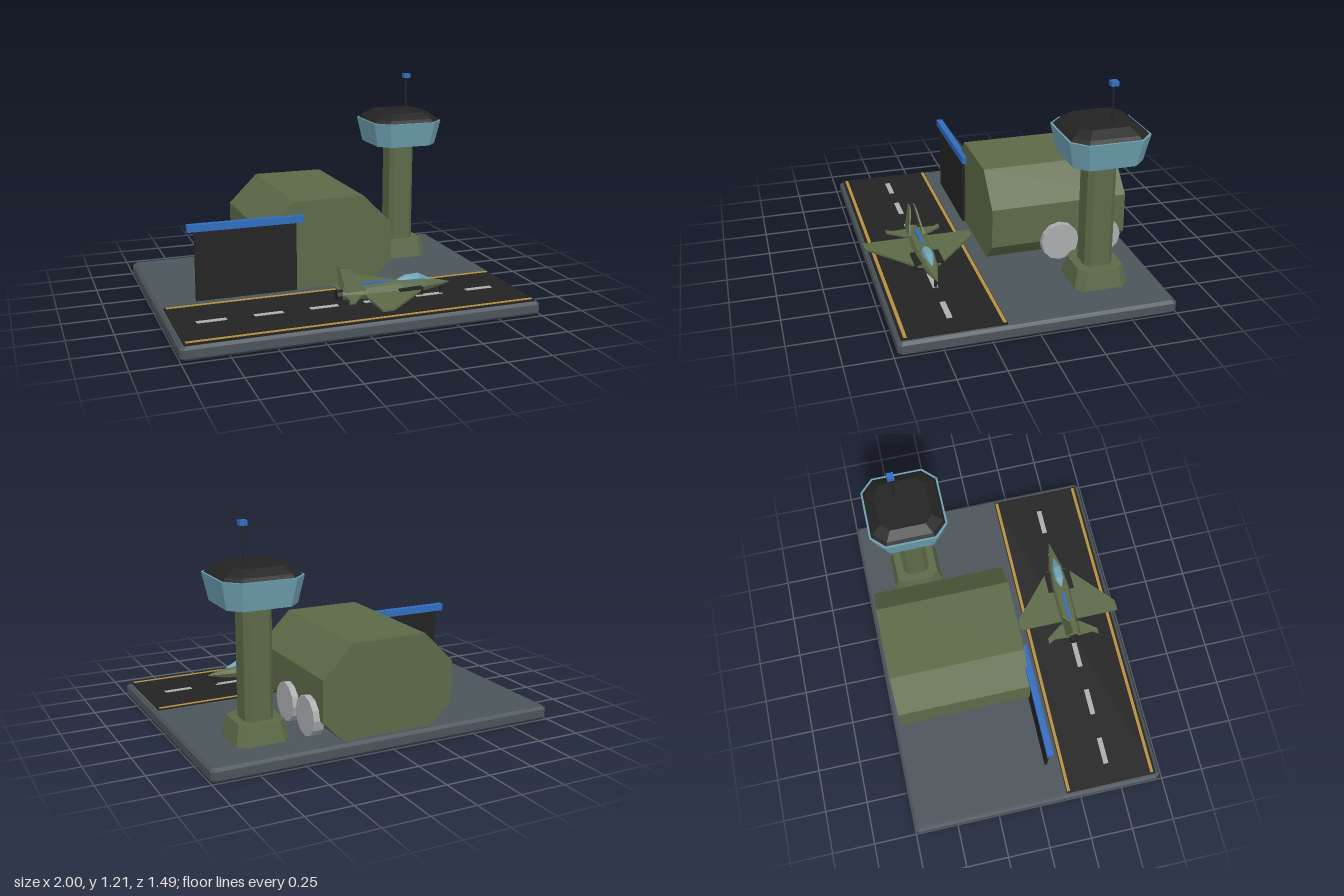
import * as THREE from 'three';

const mat = (name, color) => {
  const m = new THREE.MeshStandardMaterial({ color });
  m.name = name;
  return m;
};

export function createModel() {
  const green = mat('olive green', 0x5c6a48);
  const concrete = mat('concrete', 0x4b545a);
  const black = mat('tarmac black', 0x232323);
  const yellow = mat('line yellow', 0xb68f3c);
  const grey = mat('light grey', 0xaaacae);
  const blue = mat('blue', 0x2f6cc0);
  const glass = mat('glass', 0x6fa2b3);

  const root = new THREE.Group();
  root.name = 'airbase';

  const add = (parent, name, geo, material, x = 0, y = 0, z = 0) => {
    const mesh = new THREE.Mesh(geo, material);
    mesh.name = name;
    mesh.position.set(x, y, z);
    parent.add(mesh);
    return mesh;
  };
  // box given by its limits
  const box = (parent, name, material, x0, x1, y0, y1, z0, z1) =>
    add(parent, name, new THREE.BoxGeometry(x1 - x0, y1 - y0, z1 - z0), material,
      (x0 + x1) / 2, (y0 + y1) / 2, (z0 + z1) / 2);
  const flat = (geo) => {
    const g = geo.toNonIndexed();
    g.computeVertexNormals();
    return g;
  };
  // faceted capped skin over rings of [x, y, z], counter-clockwise seen from the last ring
  const loft = (rings) => {
    const pos = [];
    const n = rings[0].length;
    for (let r = 0; r < rings.length - 1; r++) {
      for (let i = 0; i < n; i++) {
        const j = (i + 1) % n;
        const [a, b, c, d] = [rings[r][i], rings[r][j], rings[r + 1][j], rings[r + 1][i]];
        pos.push(...a, ...b, ...c, ...a, ...c, ...d);
      }
    }
    const first = rings[0], last = rings[rings.length - 1];
    for (let i = 1; i < n - 1; i++) {
      pos.push(...first[0], ...first[i + 1], ...first[i], ...last[0], ...last[i], ...last[i + 1]);
    }
    const g = new THREE.BufferGeometry();
    g.setAttribute('position', new THREE.Float32BufferAttribute(pos, 3));
    g.computeVertexNormals();
    return g;
  };
  // rectangle with cut corners
  const octagon = (u, v, c) => [[u, c - v], [u, v - c], [u - c, v], [c - u, v],
    [-u, v - c], [-u, c - v], [c - u, -v], [u - c, -v]];
  // stack of cut-corner rectangles: [y, half x, half z, corner]
  const stack = (levels) => loft(levels.map(([y, hx, hz, c]) =>
    octagon(hz, hx, c).map(([z, x]) => [x, y, z])));
  const plate = (points, t) => new THREE.ExtrudeGeometry(
    new THREE.Shape(points.map(([x, y]) => new THREE.Vector2(x, y))), { depth: t, bevelEnabled: false });

  // ground slab
  add(root, 'groundSlab', stack([[0, 0.985, 0.725, 0.015], [0.015, 1, 0.74, 0.018],
    [0.06, 1, 0.74, 0.018], [0.075, 0.985, 0.725, 0.015]]), concrete, 0, 0, -0.01);

  // runway and markings
  const runway = new THREE.Group();
  runway.name = 'runway';
  root.add(runway);
  box(runway, 'tarmac', black, -0.975, 0.973, 0.07, 0.083, 0.165, 0.71);
  for (const z of [0.178, 0.687]) {
    box(runway, 'edgeLine', yellow, -0.965, 0.965, 0.081, 0.086, z - 0.009, z + 0.009);
  }
  for (let i = 0; i < 6; i++) {
    const x = -0.775 + i * 0.309;
    box(runway, 'centreDash', grey, x - 0.08, x + 0.08, 0.081, 0.086, 0.42, 0.45);
  }

  // hangar, faceted barrel sunk into the slab
  add(root, 'hangar', loft([-0.7, 0.077].map((z) =>
    octagon(0.383, 0.285, 0.172).map(([x, y]) => [x, y + 0.302, z]))), green);

  // sliding door with its beam
  box(root, 'door', black, -0.78, -0.2, 0.07, 0.48, 0.078, 0.094);
  box(root, 'doorBeam', blue, -0.82, -0.16, 0.47, 0.51, 0.066, 0.103);

  // round fans on the hangar side
  for (const z of [-0.557, -0.309]) {
    const geo = flat(new THREE.CylinderGeometry(0.108, 0.108, 0.06, 12));
    add(root, 'fan', geo, grey, 0.388, 0.19, z).rotation.z = Math.PI / 2;
  }

  // control tower
  const tower = new THREE.Group();
  tower.name = 'controlTower';
  tower.position.set(0.637, 0, -0.423);
  root.add(tower);
  add(tower, 'foot', stack([[0.07, 0.15, 0.15, 0.045], [0.18, 0.125, 0.125, 0.04]]), green);
  add(tower, 'shaft', stack([[0.17, 0.078, 0.078, 0.026], [0.8, 0.078, 0.078, 0.026]]), green);
  add(tower, 'cabin', stack([[0.79, 0.19, 0.19, 0.065], [0.937, 0.22, 0.22, 0.075]]), glass);
  add(tower, 'roof', stack([[0.936, 0.21, 0.21, 0.07], [0.955, 0.195, 0.195, 0.065],
    [0.99, 0.145, 0.145, 0.045]]), black);
  add(tower, 'mast', flat(new THREE.CylinderGeometry(0.005, 0.005, 0.21, 8)), black, 0.064, 1.09, -0.036);
  add(tower, 'beacon', new THREE.BoxGeometry(0.04, 0.026, 0.04), blue, 0.064, 1.198, -0.036);

  // jet on the runway, nose toward +x
  const jet = new THREE.Group();
  jet.name = 'jet';
  jet.position.z = 0.434;
  root.add(jet);
  // hull sections: [x, half width, bottom, top]
  const hull = (sections) => loft(sections.map(([x, w, lo, hi]) => {
    const ring = [];
    for (let i = 0; i < 8; i++) {
      const a = (i / 8) * Math.PI * 2;
      ring.push([x, (lo + hi) / 2 + Math.cos(a) * (hi - lo) / 2, Math.sin(a) * w]);
    }
    return ring;
  }));
  add(jet, 'fuselage', hull([[-0.06, 0.034, 0.112, 0.172], [0.05, 0.05, 0.103, 0.185],
    [0.28, 0.056, 0.1, 0.194], [0.42, 0.042, 0.11, 0.187], [0.52, 0.018, 0.126, 0.166],
    [0.582, 0.003, 0.143, 0.149]]), green);
  add(jet, 'canopy', hull([[0.265, 0.006, 0.18, 0.194], [0.32, 0.027, 0.172, 0.214],
    [0.39, 0.027, 0.168, 0.218], [0.465, 0.005, 0.168, 0.18]]), glass);
  box(jet, 'spineStripe', blue, 0.05, 0.225, 0.184, 0.193, -0.009, 0.009);
  add(jet, 'nozzle', flat(new THREE.CylinderGeometry(0.032, 0.028, 0.035, 8)), black,
    -0.071, 0.142, 0).rotation.z = -Math.PI / 2;

  for (const s of [1, -1]) {
    const wing = [[0.055, s * 0.03], [0.055, s * 0.31], [0.12, s * 0.308], [0.4, s * 0.06], [0.4, s * 0.03]];
    add(jet, 'wing', plate(wing, 0.012), green, 0, 0.135, 0).rotation.x = -Math.PI / 2;
    const tail = [[-0.055, s * 0.02], [-0.05, s * 0.12], [-0.072, s * 0.157], [-0.036, s * 0.157],
      [0.035, s * 0.06], [0.035, s * 0.02]];
    add(jet, 'tailplane', plate(tail, 0.01), green, 0, 0.138, 0).rotation.x = -Math.PI / 2;
    const fin = plate([[-0.05, 0], [0.07, 0], [-0.013, 0.13], [-0.076, 0.136]], 0.008);
    fin.translate(0, 0, -0.004);
    add(jet, 'fin', fin, green, 0, 0.163, s * 0.042).rotation.x = -s * 0.2;
    // intake, bomb and landing gear
    const iz = s * 0.06;
    box(jet, 'intake', black, 0.255, 0.392, 0.118, 0.157, iz - 0.02, iz + 0.02);
    const bz = s * 0.155;
    add(jet, 'bomb', hull([[0.13, 0.005, 0.106, 0.116], [0.155, 0.014, 0.097, 0.125],
      [0.25, 0.014, 0.097, 0.125], [0.285, 0.003, 0.108, 0.114]]), black, 0, 0, bz);
    box(jet, 'pylon', black, 0.16, 0.23, 0.115, 0.137, bz - 0.004, bz + 0.004);
    const gz = s * 0.09;
    box(jet, 'mainGear', black, 0.145, 0.16, 0.083, 0.137, gz - 0.005, gz + 0.005);
    add(jet, 'mainWheel', flat(new THREE.CylinderGeometry(0.018, 0.018, 0.014, 10)), black,
      0.152, 0.1, gz).rotation.x = Math.PI / 2;
  }
  box(jet, 'noseGear', black, 0.527, 0.541, 0.083, 0.135, -0.006, 0.006);

  return root;
}
